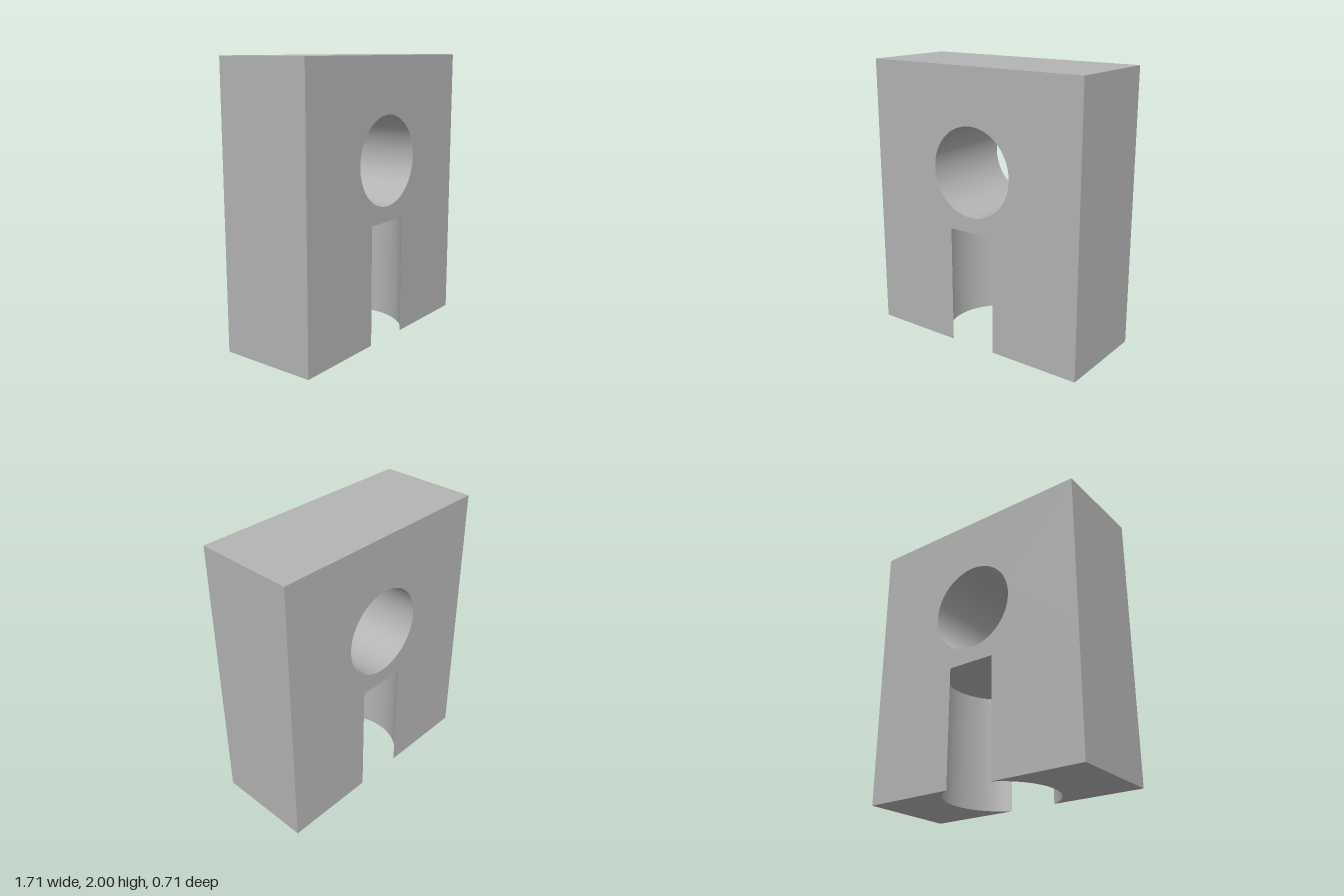
import * as THREE from 'three';
import { toCreasedNormals } from 'three/addons/utils/BufferGeometryUtils.js';

const W = 0.857, D = 0.357, H = 2;     // half width, half depth, height
const SLOT_H = 0.86, SLOT_R = 0.4;     // vertical bore from below
const HOLE_R = 0.317, HOLE_Y = 1.287;  // round through hole

export function createModel() {
  const group = new THREE.Group();
  group.name = 'boredBlock';
  const grey = new THREE.MeshStandardMaterial({ color: 0xb4b4b4 });
  grey.name = 'grey';

  const add = (name, geometry) => {
    const mesh = new THREE.Mesh(toCreasedNormals(geometry, 0.5), grey);
    mesh.name = name;
    group.add(mesh);
  };

  // Upper block with the round hole running front to back
  const face = new THREE.Shape([
    new THREE.Vector2(-W, SLOT_H), new THREE.Vector2(W, SLOT_H),
    new THREE.Vector2(W, H), new THREE.Vector2(-W, H),
  ]);
  face.holes.push(new THREE.Path().absarc(0, HOLE_Y, HOLE_R, 0, Math.PI * 2, true));
  add('upperBlock', new THREE.ExtrudeGeometry(face, {
    depth: 2 * D, bevelEnabled: false, curveSegments: 48,
  }).translate(0, 0, -D));

  // Legs: the bore is wider than the block is deep, so it breaks out front and back
  const angle = Math.asin(D / SLOT_R);
  for (const [name, turn] of [['leftLeg', 0], ['rightLeg', Math.PI]]) {
    const plan = new THREE.Shape();
    plan.moveTo(W, -D);
    plan.lineTo(W, D);
    plan.absarc(0, 0, SLOT_R, angle, -angle, true);
    plan.closePath();
    add(name, new THREE.ExtrudeGeometry(plan, {
      depth: SLOT_H, bevelEnabled: false, curveSegments: 32,
    }).rotateX(-Math.PI / 2).rotateY(turn));
  }
  return group;
}
